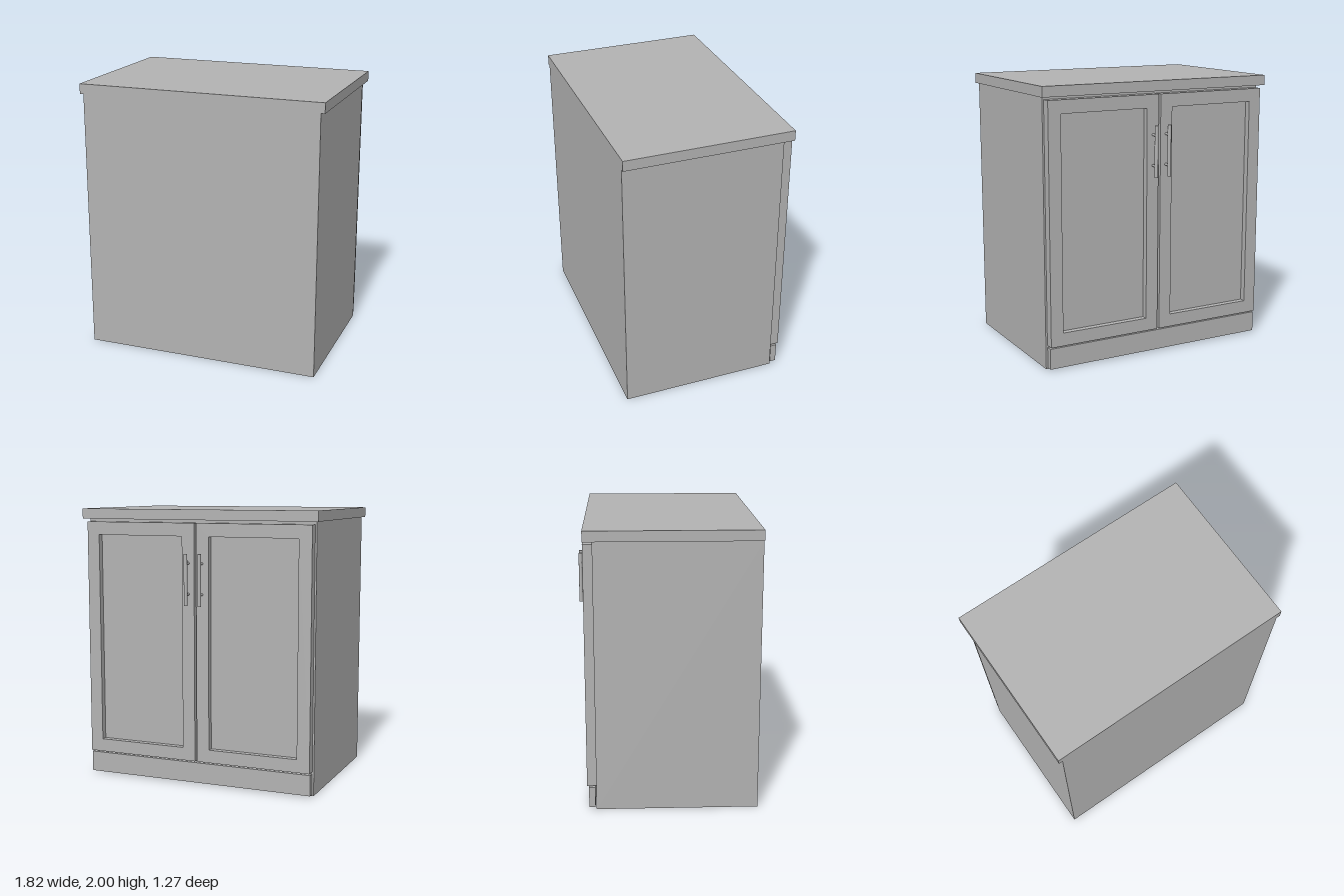
import * as THREE from 'three';

const grey = new THREE.MeshStandardMaterial({ color: 0xb2b2b2 });
grey.name = 'grey';

function add(parent, name, geometry, x = 0, y = 0, z = 0) {
  const mesh = new THREE.Mesh(geometry, grey);
  mesh.name = name;
  mesh.position.set(x, y, z);
  parent.add(mesh);
  return mesh;
}

// box given by its limits on each axis
function block(parent, name, x0, x1, y0, y1, z0, z1) {
  return add(parent, name, new THREE.BoxGeometry(x1 - x0, y1 - y0, z1 - z0),
    (x0 + x1) / 2, (y0 + y1) / 2, (z0 + z1) / 2);
}

// frame piece with mitred ends, extruded from the door front inwards
function rail(parent, name, corners, depth, z) {
  const shape = new THREE.Shape(corners.map(([x, y]) => new THREE.Vector2(x, y)));
  add(parent, name, new THREE.ExtrudeGeometry(shape, { depth, bevelEnabled: false }), 0, 0, z);
}

function createDoor(name, x0, x1) {
  const door = new THREE.Group();
  door.name = name;
  const y0 = 0.175, y1 = 1.905, w = 0.095, front = -0.575, back = -0.51;
  const a0 = x0 + w, a1 = x1 - w, b0 = y0 + w, b1 = y1 - w;
  rail(door, 'bottomRail', [[x0, y0], [x1, y0], [a1, b0], [a0, b0]], back - front, front);
  rail(door, 'topRail', [[x0, y1], [a0, b1], [a1, b1], [x1, y1]], back - front, front);
  rail(door, 'rightStile', [[x0, y0], [a0, b0], [a0, b1], [x0, y1]], back - front, front);
  rail(door, 'leftStile', [[x1, y0], [x1, y1], [a1, b1], [a1, b0]], back - front, front);
  block(door, 'recessedPanel', a0, a1, b0, b1, front + 0.045, back);
  return door;
}

function createHandle(name, x) {
  const handle = new THREE.Group();
  handle.name = name;
  add(handle, 'handleBar', new THREE.CylinderGeometry(0.013, 0.013, 0.37, 20), x, 1.505, -0.622);
  for (const y of [1.4, 1.62]) {
    const post = add(handle, 'handlePost', new THREE.CylinderGeometry(0.009, 0.009, 0.045, 16), x, y, -0.5975);
    post.rotation.x = Math.PI / 2;
  }
  return handle;
}

export function createModel() {
  const cabinet = new THREE.Group();
  cabinet.name = 'cabinet';

  // carcass, worktop and plinth
  block(cabinet, 'carcass', -0.88, 0.88, 0, 1.926, -0.51, 0.637);
  block(cabinet, 'worktop', -0.908, 0.908, 1.926, 2, -0.575, 0.637);
  block(cabinet, 'plinth', -0.87, 0.87, 0.012, 0.162, -0.562, -0.518);

  // pair of doors with bar handles beside the centre gap
  cabinet.add(createDoor('leftDoor', 0.008, 0.868), createDoor('rightDoor', -0.868, -0.008));
  cabinet.add(createHandle('leftHandle', 0.053), createHandle('rightHandle', -0.053));
  return cabinet;
}
